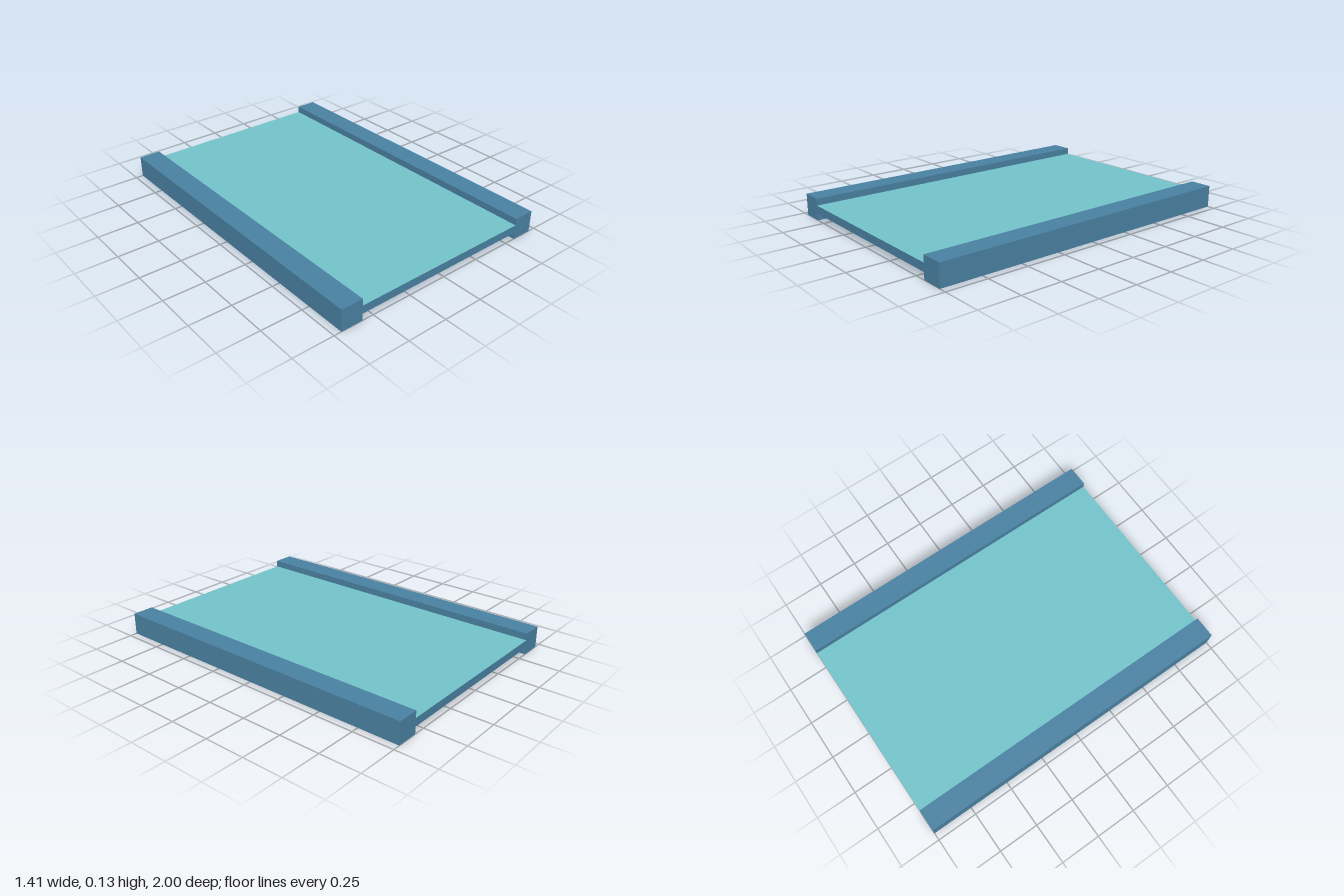
import * as THREE from 'three';

export function createModel() {
  const model = new THREE.Group();
  model.name = 'railedPanel';

  const blue = new THREE.MeshStandardMaterial({ color: 0x4a82a3 });
  blue.name = 'steel blue';
  const teal = new THREE.MeshStandardMaterial({ color: 0x74c4cc });
  teal.name = 'pale teal';

  const length = 2, halfWidth = 0.705, rail = 0.133;
  const panelWidth = 2 * (halfWidth - rail), panelHeight = 0.049;

  // Flat panel: teal top and underside, blue edges
  const panel = new THREE.Mesh(
    new THREE.BoxGeometry(panelWidth, panelHeight, length),
    [blue, blue, teal, teal, blue, blue]
  );
  panel.name = 'panel';
  panel.position.y = rail / 2;
  model.add(panel);

  // Square rails along both long sides
  for (const side of [-1, 1]) {
    const mesh = new THREE.Mesh(new THREE.BoxGeometry(rail, rail, length), blue);
    mesh.name = side > 0 ? 'leftRail' : 'rightRail';
    mesh.position.set(side * (halfWidth - rail / 2), rail / 2, 0);
    model.add(mesh);
  }

  return model;
}
